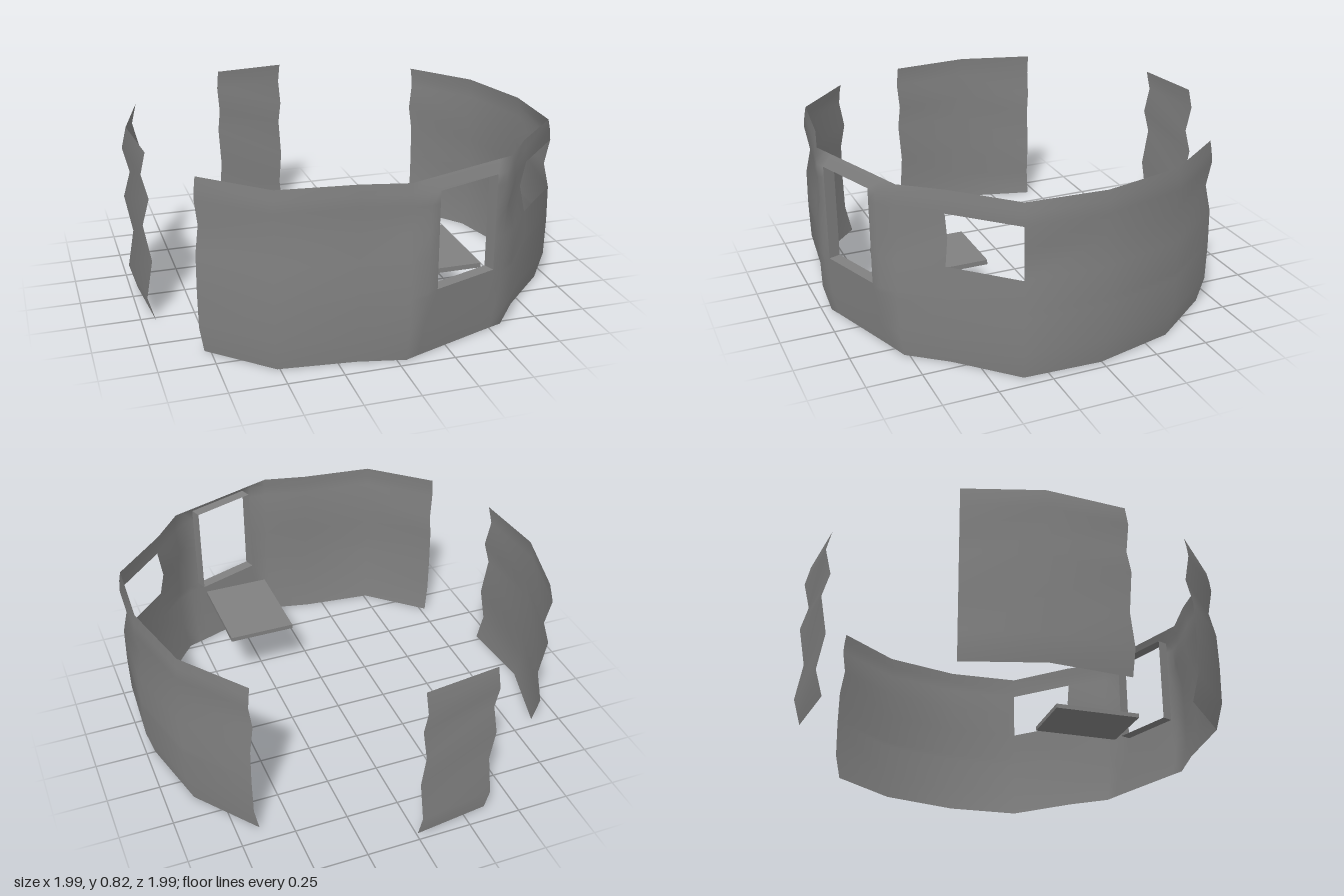
import * as THREE from 'three';

const mat = new THREE.MeshStandardMaterial({ color: 0x808080, side: THREE.DoubleSide });

function sheet(positions, index) {
  const geo = new THREE.BufferGeometry();
  geo.setAttribute('position', new THREE.Float32BufferAttribute(positions, 3));
  geo.setIndex(index);
  geo.computeVertexNormals();
  return geo;
}

function part(name, geo) {
  const mesh = new THREE.Mesh(geo, mat);
  mesh.name = name;
  return mesh;
}

// Outward unit normal of the plan path at column i
function outward(path, i) {
  const a = path[Math.max(i - 1, 0)], b = path[Math.min(i + 1, path.length - 1)];
  const dx = b[0] - a[0], dz = b[1] - a[1], l = Math.hypot(dx, dz);
  return [-dz / l, dx / l];
}

// Sheet wall: plan path swept up through rows of [height, outward offset]; isHole drops cells
function wall(name, path, rows, isHole = () => false, bulge = () => null) {
  const pos = [], index = [], n = path.length;
  rows.forEach(([y, off], r) => path.forEach(([x, z], c) => {
    const [nx, nz] = outward(path, c), o = bulge(c, r) ?? off;
    pos.push(x + nx * o, y, z + nz * o);
  }));
  for (let r = 0; r < rows.length - 1; r++) {
    for (let c = 0; c < n - 1; c++) {
      if (isHole(c, r)) continue;
      const a = r * n + c, b = a + 1, d = a + n, e = d + 1;
      index.push(a, b, e, a, e, d);
    }
  }
  const geo = sheet(pos, index);
  // Soften the shading across the horizontal ripples
  const normal = geo.attributes.normal;
  for (let i = 0; i < normal.count; i++) normal.setY(i, normal.getY(i) * 0.4);
  geo.normalizeNormals();
  return part(name, geo);
}

export function createModel() {
  const group = new THREE.Group();

  // Main curved wall with a small window and a tall hatch that bulges outward
  const path = [
    [-0.79, 0.64], [-0.52, 0.89], [-0.17, 0.93], [0.04, 0.977], [0.105, 0.954],
    [0.15, 0.938], [0.455, 0.829], [0.505, 0.812], [0.58, 0.785], [0.715, 0.615],
    [0.96, 0.37], [0.978, 0], [0.885, -0.38], [0.66, -0.68],
  ];
  const rows = [
    [0, -0.02], [0.13, 0.014], [0.3, 0.018], [0.33, 0.018], [0.48, 0.015],
    [0.6, -0.012], [0.72, 0.01], [0.775, 0.004], [0.82, -0.005],
  ];
  const rim = 0.043;
  const hatch = (c, r) => c === 5 && r >= 3 && r <= 6;
  const window = (c, r) => c === 9 && (r === 4 || r === 5);
  const hatchBulge = (c, r) => {
    if (c < 4 || c > 7 || r < 2 || r > 7) return null;
    return r === 2 ? 0.036 : rim;
  };
  group.add(wall('mainWall', path, rows, (c, r) => hatch(c, r) || window(c, r), hatchBulge));

  // Reveal around the hatch, running inward from its rim
  const [nx, nz] = outward(path, 5);
  const corners = [[5, 0.33], [6, 0.33], [6, 0.775], [5, 0.775]];
  const pos = [], index = [];
  corners.forEach(([c, y], i) => {
    for (const o of [rim, -0.012]) pos.push(path[c][0] + nx * o, y, path[c][1] + nz * o);
    const a = i * 2, b = ((i + 1) % 4) * 2;
    index.push(a, b + 1, b, a, a + 1, b + 1);
  });
  const reveal = sheet(pos, index).toNonIndexed();
  reveal.computeVertexNormals();
  group.add(part('hatchReveal', reveal));

  // Two free-standing corrugated wall pieces
  const zigzag = [
    [0, -0.017], [0.12, 0.017], [0.3, -0.015], [0.48, 0.017],
    [0.6, -0.017], [0.72, 0.012], [0.82, -0.012],
  ];
  group.add(wall('sideWallPiece', [[-0.885, -0.46], [-0.982, -0.1], [-0.95, 0.28]], zigzag));
  group.add(wall('backWallPiece', [[-0.01, -0.98], [-0.365, -0.935]], zigzag));

  // Flat counter board inside the hatch
  const counter = part('counterBoard', new THREE.BoxGeometry(0.325, 0.022, 0.45));
  counter.position.set(0.2875, 0.314, 0.553);
  group.add(counter);

  return group;
}
